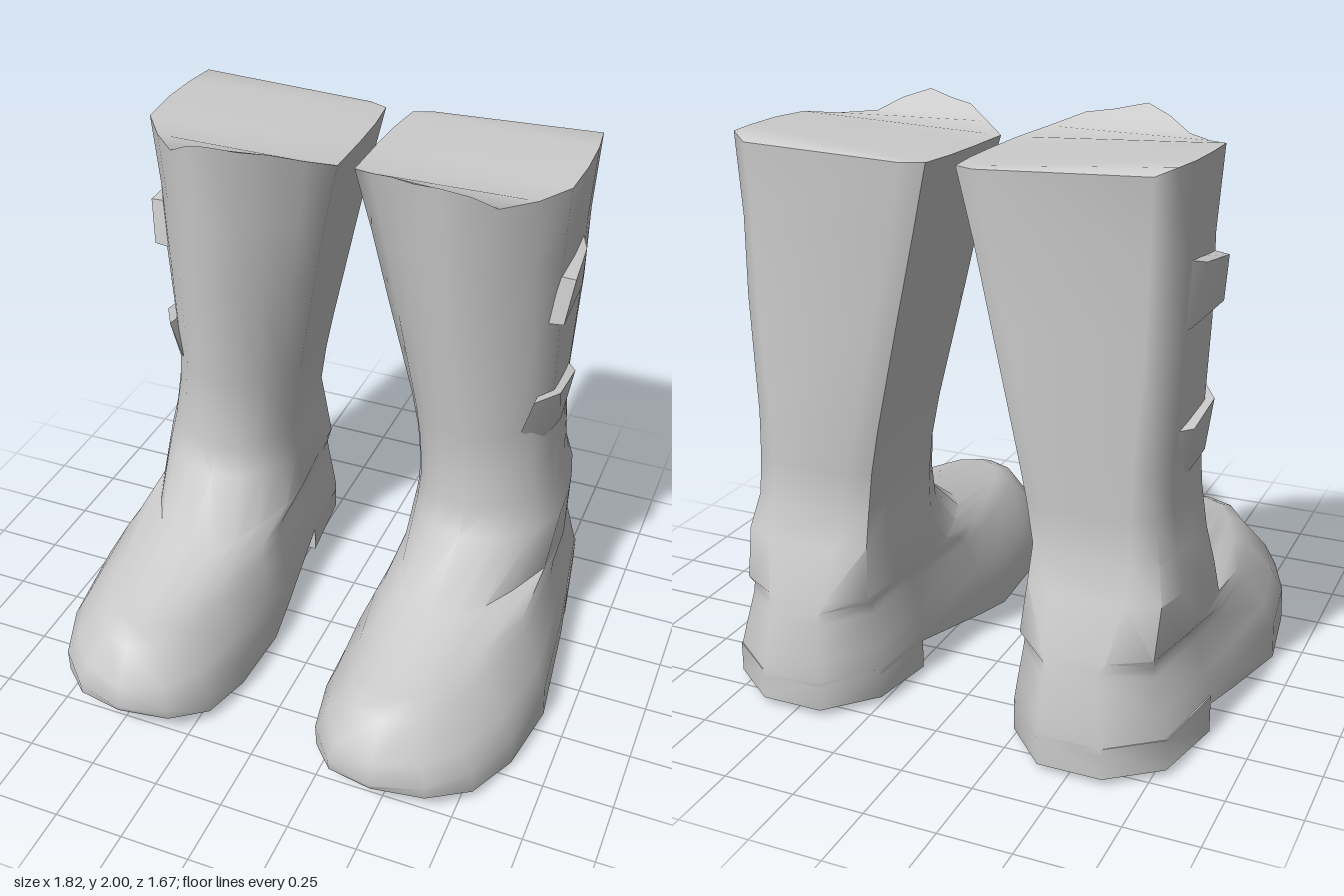
import * as THREE from 'three';
import { toCreasedNormals } from 'three/addons/utils/BufferGeometryUtils.js';
import { ConvexGeometry } from 'three/addons/geometries/ConvexGeometry.js';

const material = new THREE.MeshStandardMaterial({ color: 0xcccccc, side: THREE.DoubleSide });
const lerp = THREE.MathUtils.lerp;

// Outlines [x, z] of the left boot, from the toe around the outer side, heel and inner side.
const SOLE = [
  [0.48, 0.83], [0.66, 0.78], [0.79, 0.65], [0.87, 0.45], [0.91, 0.17], [0.87, -0.2],
  [0.84, -0.39], [0.79, -0.7], [0.62, -0.83], [0.4, -0.83], [0.25, -0.67], [0.23, -0.39],
  [0.18, 0], [0.16, 0.17], [0.17, 0.45], [0.21, 0.65], [0.31, 0.78],
];
const SHAFT = [
  [0.4, 0.1], [0.49, 0.06], [0.57, 0.02], [0.67, -0.08], [0.75, -0.18], [0.76, -0.34],
  [0.755, -0.5], [0.74, -0.62], [0.68, -0.66], [0.12, -0.67], [0.05, -0.64], [0.035, -0.5],
  [0.03, -0.34], [0.03, -0.13], [0.11, -0.06], [0.21, 0.02], [0.3, 0.06],
];
const RIM_Y = [2, 1.97, 1.925, 1.925, 1.94, 1.945, 1.945, 1.945, 1.92, 1.9, 1.9, 1.9, 1.9, 1.9, 1.93, 1.97, 1.98];

// Levels: y, inner x, outer x, front z, back z, blend from sole to shaft outline, instep pinch
const LEVELS = [
  [0.14, 0.16, 0.905, 0.84, -0.83, 0, 0],
  [0.22, 0.175, 0.88, 0.82, -0.82, 0, 0.08],
  [0.34, 0.2, 0.84, 0.74, -0.8, 0, 0.3],
  [0.375, 0.205, 0.835, 0.66, -0.79, 0, 0.45],
  [0.41, 0.21, 0.83, 0.24, -0.78, 0.1, 0.35],
  [0.58, 0.24, 0.815, -0.01, -0.715, 0.3, 0.1],
  [0.7, 0.26, 0.77, -0.03, -0.67, 0.5, 0],
  [0.85, 0.245, 0.75, -0.04, -0.67, 0.6, 0],
  [1.0, 0.22, 0.74, -0.03, -0.67, 0.7, 0],
  [1.4, 0.14, 0.75, 0.03, -0.665, 0.9, 0],
  [1.67, 0.085, 0.745, 0.06, -0.66, 1, 0],
];

// Height of the underside along the foot
const SOLE_Y = [[-0.83, 0.12], [-0.37, 0.11], [-0.2, 0.08], [0.13, 0.01], [0.45, 0.02], [0.7, 0.05], [0.84, 0.12]];
function soleY(z) {
  for (let i = 1; i < SOLE_Y.length; i++) {
    const [z0, y0] = SOLE_Y[i - 1], [z1, y1] = SOLE_Y[i];
    if (z <= z1) return lerp(y0, y1, (z - z0) / (z1 - z0));
  }
  return 0.12;
}

// Scale an outline to the unit square
function unit(outline) {
  const xs = outline.map(p => p[0]), zs = outline.map(p => p[1]);
  const x0 = Math.min(...xs), x1 = Math.max(...xs), z0 = Math.min(...zs), z1 = Math.max(...zs);
  return outline.map(([x, z]) => [(x - x0) / (x1 - x0), (z - z0) / (z1 - z0)]);
}
const SOLE_UNIT = unit(SOLE), SHAFT_UNIT = unit(SHAFT);

function levelRing([y, xi, xo, zf, zb, blend, pinch]) {
  return SOLE_UNIT.map(([u, v], i) => {
    const uu = lerp(u, SHAFT_UNIT[i][0], blend), vv = lerp(v, SHAFT_UNIT[i][1], blend);
    const x = lerp(xi, xo, uu);
    return [lerp(x, 0.49, pinch * THREE.MathUtils.smoothstep(vv, 0.35, 1)), y, lerp(zb, zf, vv)];
  });
}

// Skin rings from bottom to top; caps are strips from side to side
function loft(rings, side) {
  const n = rings[0].length, index = [];
  const tri = (a, b, c) => side > 0 ? index.push(a, b, c) : index.push(a, c, b);
  const quad = (a, b, c, d) => { tri(a, b, c); tri(a, c, d); };
  for (let r = 0; r < rings.length - 1; r++) {
    for (let i = 0; i < n; i++) {
      const j = (i + 1) % n, o = r * n;
      quad(o + i, o + j, o + n + j, o + n + i);
    }
  }
  const t = (rings.length - 1) * n;
  tri(t, t + 1, t + n - 1);
  tri(0, n - 1, 1);
  for (let i = 1; i < (n - 1) / 2; i++) {
    quad(t + i, t + i + 1, t + n - i - 1, t + n - i);
    quad(n - i, n - i - 1, i + 1, i);
  }
  const geometry = new THREE.BufferGeometry();
  const points = rings.flat().flatMap(([x, y, z]) => [x * side, y, z]);
  geometry.setAttribute('position', new THREE.Float32BufferAttribute(points, 3));
  geometry.setIndex(index);
  return toCreasedNormals(geometry, 0.9);
}

function flap(points, side) {
  const hull = new ConvexGeometry(points.map(([x, y, z]) => new THREE.Vector3(x * side, y, z)));
  return toCreasedNormals(hull, 0.8);
}

function createBoot(side) {
  const boot = new THREE.Group();
  boot.name = side > 0 ? 'leftBoot' : 'rightBoot';
  const add = (name, geometry) => {
    const mesh = new THREE.Mesh(geometry, material);
    mesh.name = name;
    boot.add(mesh);
  };

  // Foot and shaft in one skin
  const bottom = SOLE.map(([x, z]) => [x, soleY(z), z]);
  const rim = SHAFT.map(([x, z], i) => [x, RIM_Y[i], z]);
  add('upper', loft([bottom, ...LEVELS.map(levelRing), rim], side));

  // Heel block, flush with the back of the sole
  const heel = [[0.53, -0.38], ...SOLE.slice(6, 12)];
  add('heel', loft([
    heel.map(([x, z]) => [x, z < -0.6 ? 0.03 : 0.005, z]),
    heel.map(([x, z]) => [x, 0.14, z]),
  ], side));

  // Strap flaps on the outer side
  add('upperStrap', flap([
    [0.785, 1.6, -0.21], [0.765, 1.44, -0.18], [0.7, 1.61, -0.2], [0.68, 1.43, -0.18],
    [0.77, 1.62, -0.4], [0.75, 1.43, -0.48], [0.7, 1.66, -0.55], [0.7, 1.43, -0.55],
  ], side));
  add('lowerStrap', flap([
    [0.7, 1.14, -0.13], [0.66, 1.0, -0.14], [0.765, 1.13, -0.24], [0.76, 0.98, -0.31],
    [0.765, 1.1, -0.45], [0.72, 0.92, -0.24], [0.73, 0.92, -0.42], [0.68, 1.1, -0.55], [0.68, 0.98, -0.52],
  ], side));
  return boot;
}

export function createModel() {
  const model = new THREE.Group();
  model.name = 'boots';
  model.add(createBoot(1), createBoot(-1));
  return model;
}
